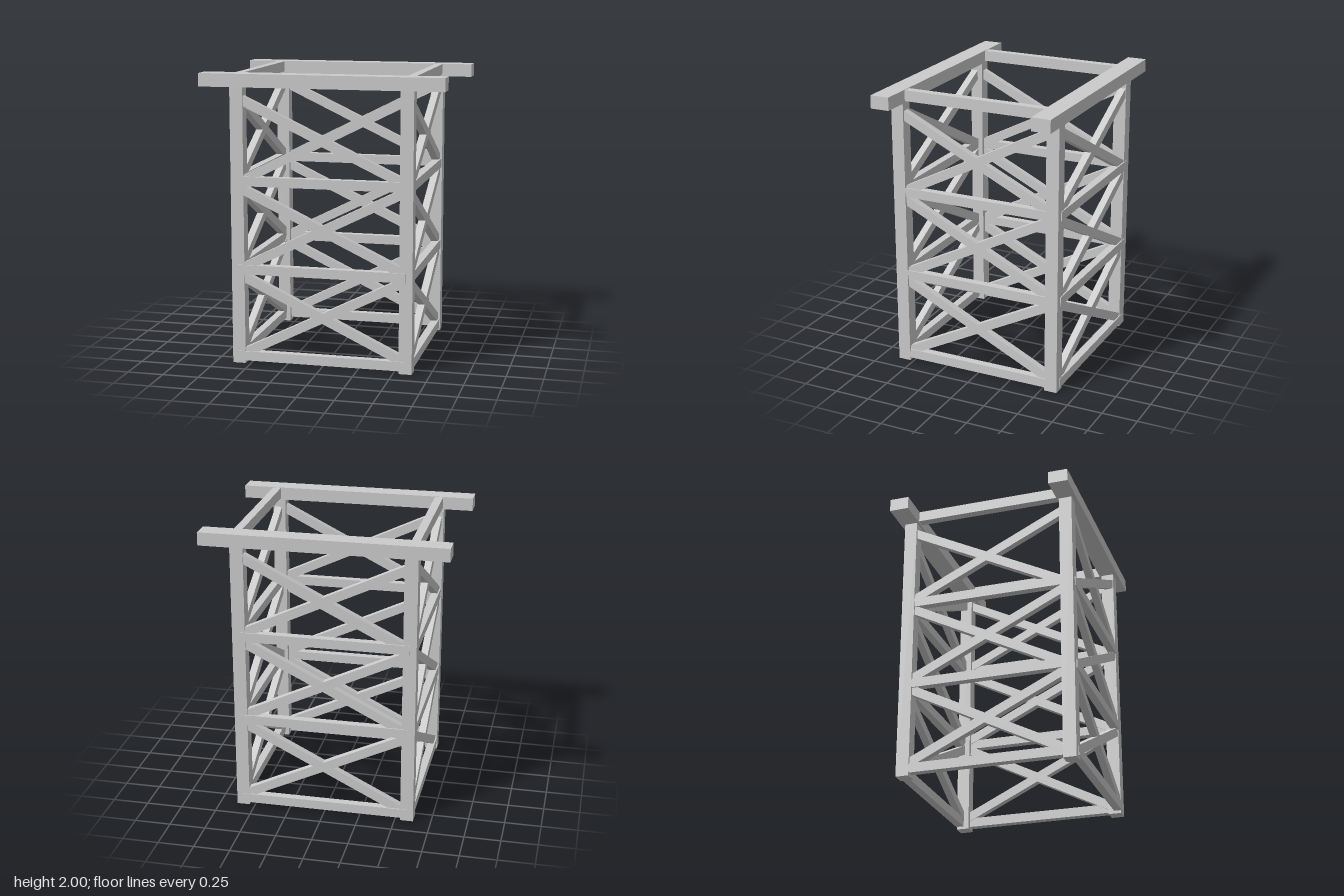
import * as THREE from 'three';

const material = new THREE.MeshStandardMaterial({ color: 0xcccccc, flatShading: true });

const POST = { x: 0.583, z: 0.57, size: 0.09 };
const BAY = 0.605;

function beam(name, w, h, d, x, y, z) {
  const mesh = new THREE.Mesh(new THREE.BoxGeometry(w, h, d), material);
  mesh.name = name;
  mesh.position.set(x, y, z);
  return mesh;
}

// Bar lying in the local xy plane between two points
function brace(x1, y1, x2, y2) {
  const dx = x2 - x1, dy = y2 - y1;
  const mesh = beam('diagonalBrace', Math.hypot(dx, dy), 0.063, 0.05, (x1 + x2) / 2, (y1 + y2) / 2, -0.007);
  mesh.rotation.z = Math.atan2(dy, dx);
  return mesh;
}

// One braced face: three rails with a crossed pair above each
function bracedFace(name, half) {
  const face = new THREE.Group();
  face.name = name;
  for (let i = 0; i < 3; i++) {
    face.add(beam('rail', half * 2, 0.065, 0.055, 0, 0.053 + i * 0.61, 0));
    const y = i * BAY;
    face.add(brace(-half, 0.627 + y, half, 0.075 + y));
    face.add(brace(half, 0.637 + y, -half, 0.052 + y));
  }
  return face;
}

export function createModel() {
  const model = new THREE.Group();
  model.name = 'timberTower';

  // Corner posts
  for (const sx of [-1, 1]) {
    for (const sz of [-1, 1]) {
      model.add(beam('cornerPost', POST.size, 1.92, POST.size, sx * POST.x, 0.96, sz * POST.z));
    }
  }

  // Front and back faces, with the overhanging cap beams
  for (const s of [-1, 1]) {
    const face = bracedFace(s > 0 ? 'frontBracing' : 'backBracing', POST.x);
    face.position.z = s * 0.5925;
    if (s < 0) face.children.forEach((m) => { m.position.z *= -1; });
    model.add(face);
    model.add(beam('capBeam', 1.67, 0.09, 0.135, 0, 1.955, s * 0.5785));
  }

  // Side faces, with the top ties between the cap beams
  for (const s of [-1, 1]) {
    const face = bracedFace(s > 0 ? 'leftBracing' : 'rightBracing', POST.z);
    face.rotation.y = Math.PI / 2;
    face.position.x = s * 0.596;
    if (s < 0) face.children.forEach((m) => { m.position.z *= -1; });
    model.add(face);
    model.add(beam('topTie', 0.058, 0.075, 1.04, s * 0.594, 1.96, 0));
  }

  return model;
}
